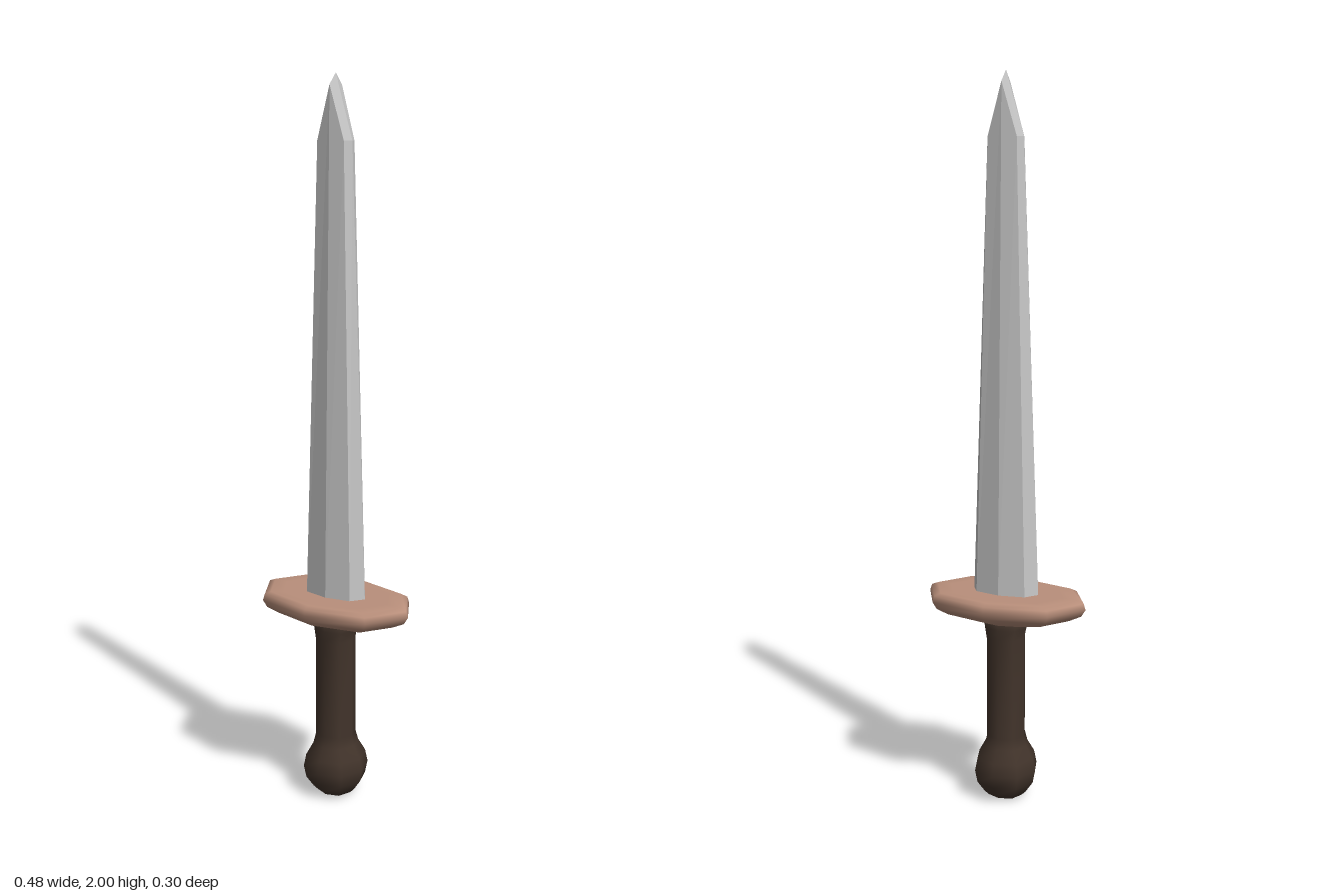
import * as THREE from 'three';

// Each ring is eight points: side points (sx), diagonal points (dx, dz), middle points (mz).
// midY lifts the front and back middle points.
function ring(y, sx, mz, dx = sx * 0.725, dz = mz * 0.735, midY = y) {
  return [
    [sx, y, 0], [dx, y, dz], [0, midY, mz], [-dx, y, dz],
    [-sx, y, 0], [-dx, y, -dz], [0, midY, -mz], [dx, y, -dz],
  ];
}

// Skins a stack of rings from bottom to top and closes both ends with a point.
function loft(rings, bottomY, topY, flat) {
  const n = 8, index = [];
  const points = [...rings.flat(), [0, bottomY, 0], [0, topY, 0]];
  const bottom = points.length - 2, top = points.length - 1, last = (rings.length - 1) * n;
  for (let j = 0; j < n; j++) {
    const k = (j + 1) % n;
    for (let r = 0; r < last; r += n) {
      index.push(r + j, r + n + j, r + k, r + k, r + n + j, r + n + k);
    }
    index.push(bottom, j, k, top, last + k, last + j);
  }
  let g = new THREE.BufferGeometry();
  g.setAttribute('position', new THREE.Float32BufferAttribute(points.flat(), 3));
  g.setIndex(index);
  if (flat) g = g.toNonIndexed();
  g.computeVertexNormals();
  return g;
}

export function createModel() {
  const material = (name, color) => {
    const m = new THREE.MeshStandardMaterial({ color });
    m.name = name;
    return m;
  };
  const steel = material('steel', 0xc8c8c8);
  const copper = material('copper', 0xb98f7b);
  const leather = material('dark leather', 0x42342b);

  const group = new THREE.Group();
  group.name = 'sword';
  const add = (name, geometry, mat) => {
    const mesh = new THREE.Mesh(geometry, mat);
    mesh.name = name;
    group.add(mesh);
  };

  // Faceted blade, its middle ridge running up higher than the edges
  add('blade', loft([
    ring(0.59, 0.098, 0.051, 0.073, 0.037),
    ring(1.83, 0.052, 0.028, 0.042, 0.024, 1.97),
  ], 0.59, 2, true), steel);

  // Eight-sided guard with a rounded rim
  add('guard', loft([
    ring(0.513, 0.07, 0.05),
    ring(0.538, 0.19, 0.115),
    ring(0.555, 0.225, 0.14),
    ring(0.575, 0.238, 0.149),
    ring(0.592, 0.232, 0.145),
    ring(0.6, 0.212, 0.132),
    ring(0.6, 0.17, 0.105),
  ], 0.513, 0.6, false), copper);

  // Grip and round pommel in one piece
  add('gripAndPommel', loft([
    ring(0.008, 0.05, 0.05),
    ring(0.02, 0.062, 0.062),
    ring(0.05, 0.083, 0.083),
    ring(0.085, 0.09, 0.09),
    ring(0.12, 0.083, 0.083),
    ring(0.155, 0.063, 0.063),
    ring(0.185, 0.055, 0.055),
    ring(0.47, 0.055, 0.055),
    ring(0.5, 0.062, 0.055),
    ring(0.53, 0.068, 0.055),
  ], 0, 0.53, false), leather);

  return group;
}
